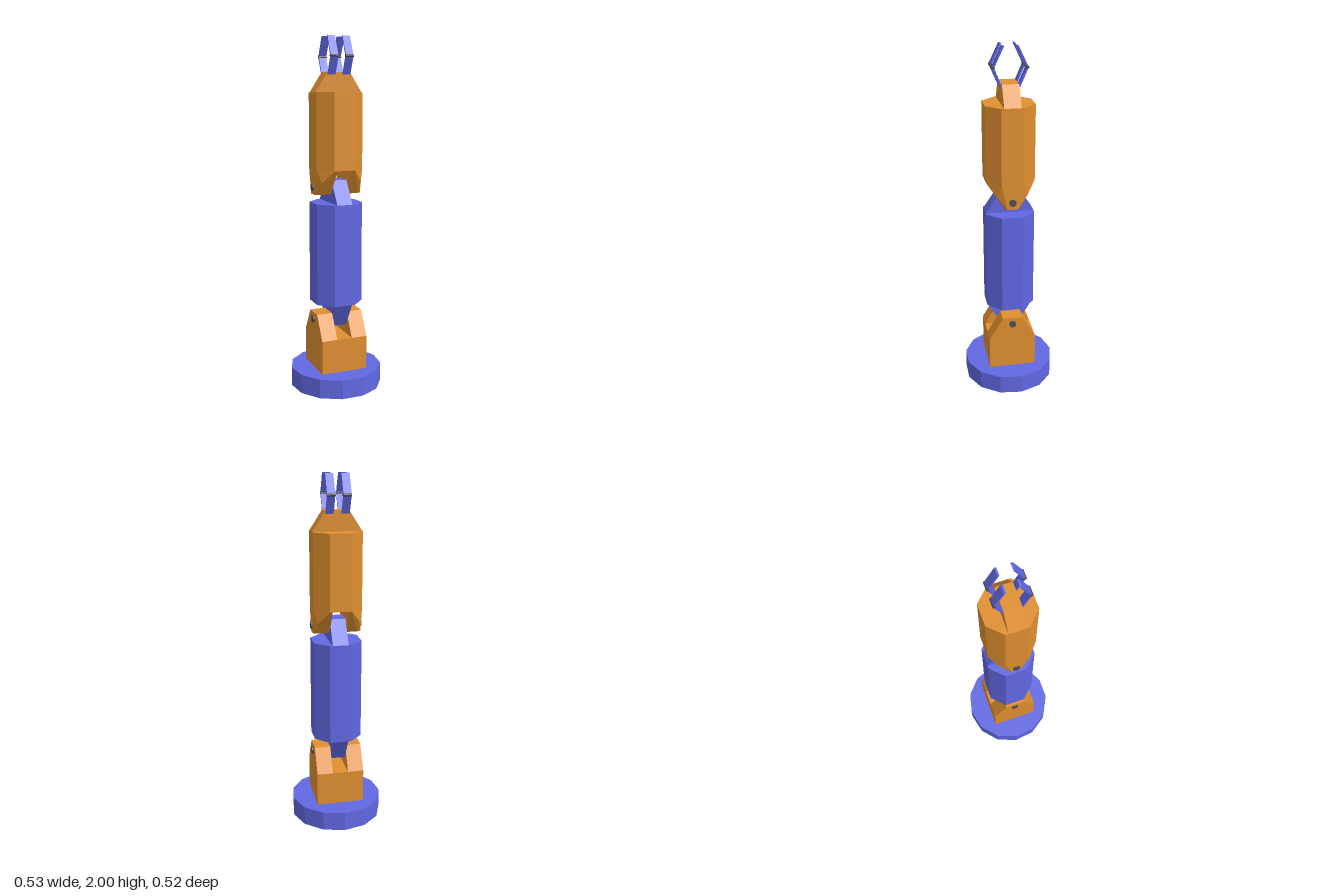
import * as THREE from 'three';
import { ConvexGeometry } from 'three/addons/geometries/ConvexGeometry.js';

const mat = (name, color) => {
  const m = new THREE.MeshStandardMaterial({ color });
  m.name = name;
  return m;
};

export function createModel() {
  const orange = mat('orange', 0xe08f30);
  const blue = mat('blue', 0x6168e2);
  const grey = mat('darkGrey', 0x505050);

  const model = new THREE.Group();
  model.name = 'roboticArm';
  const arm = new THREE.Group();
  arm.name = 'arm';
  arm.position.z = 0.003;
  model.add(arm);

  const H = 0.137; // half width of the arm
  const F = 0.061; // half width of an octagon's main flats
  const S = 0.045; // half width of the joint slots

  const add = (name, geometry, material) => {
    const mesh = new THREE.Mesh(geometry, material);
    mesh.name = name;
    arm.add(mesh);
    return mesh;
  };
  const shapeOf = (pts) => new THREE.Shape(pts.map(([a, b]) => new THREE.Vector2(a, b)));
  const extrude = (pts, depth) =>
    new THREE.ExtrudeGeometry(shapeOf(pts), { depth, bevelEnabled: false });
  // Profile given as (z, y), extruded across x and centred on x
  const sideProfile = (pts, width, x = 0) =>
    extrude(pts, width).translate(0, 0, -width / 2).rotateY(-Math.PI / 2).translate(x, 0, 0);
  // Symmetric taper from half depth a at y0 to half depth b at y1
  const taper = (a, y0, b, y1) => y1 > y0
    ? [[-a, y0], [a, y0], [b, y1], [-b, y1]]
    : [[-b, y1], [b, y1], [a, y0], [-a, y0]];
  const faceted = (r, h, sides) => {
    const g = new THREE.CylinderGeometry(r, r, h, sides).toNonIndexed();
    g.computeVertexNormals();
    return g;
  };
  const octagon = (y0, y1) => extrude(
    [[H, -F], [H, F], [F, H], [-F, H], [-H, F], [-H, -F], [-F, -H], [F, -H]], y1 - y0)
    .rotateX(-Math.PI / 2).translate(0, y0, 0);

  // Thirteen-sided base plate and the fork standing on it
  add('basePlate', faceted(0.265, 0.11, 13).rotateY(Math.PI).translate(0, 0.055, 0), blue);
  add('baseBlock', new THREE.BoxGeometry(2 * H, 0.195, 2 * H).translate(0, 0.2075, 0), orange);
  for (const s of [-1, 1]) {
    add('baseForkProng', sideProfile(taper(H, 0.305, 0.057, 0.44), H - S, s * (H + S) / 2), orange);
  }

  // Lower arm with a tapered tongue at each end
  add('lowerArm', octagon(0.5, 1.08), blue);
  add('lowerTongue', sideProfile(taper(H, 0.5, 0.05, 0.36), 2 * S), blue);
  add('upperTongue', sideProfile(taper(H, 1.08, 0.05, 1.21), 2 * S), blue);

  // Forearm with a chamfered fork below
  add('forearm', octagon(1.27, 1.695), orange);
  for (const s of [-1, 1]) {
    const corners = [
      [S, 1.27, H], [F, 1.27, H], [H, 1.27, F],
      [0.116, 1.2, 0.084],
      [S, 1.13, 0.042], [0.116, 1.13, 0.042], [H, 1.13, 0.03],
    ];
    const pts = corners.flatMap(([x, y, z]) =>
      [new THREE.Vector3(s * x, y, z), new THREE.Vector3(s * x, y, -z)]);
    add('forearmForkProng', new ConvexGeometry(pts), orange);
  }

  // Hinge pins
  for (const y of [0.4, 1.17]) {
    add('hingePin', faceted(0.02, 0.292, 12).rotateZ(Math.PI / 2).translate(0, y, 0), grey);
  }

  // Wrist wedge
  add('wrist', extrude(taper(H, 1.695, 0.066, 1.805), 0.092).translate(0, 0, -0.046), orange);

  // Four bent fingers with knuckle pins
  const finger = [[0.042, 1.79], [0.052, 1.79], [0.096, 1.89], [0.043, 2], [0.033, 2], [0.086, 1.89]];
  for (const x of [-0.044, 0.044]) {
    for (const turn of [0, Math.PI]) {
      add('finger', sideProfile(finger, 0.044, x).rotateY(turn), blue);
      add('knucklePin', faceted(0.008, 0.048, 10).rotateZ(Math.PI / 2)
        .translate(x, 1.89, 0.09).rotateY(turn), grey);
    }
  }
  return model;
}
